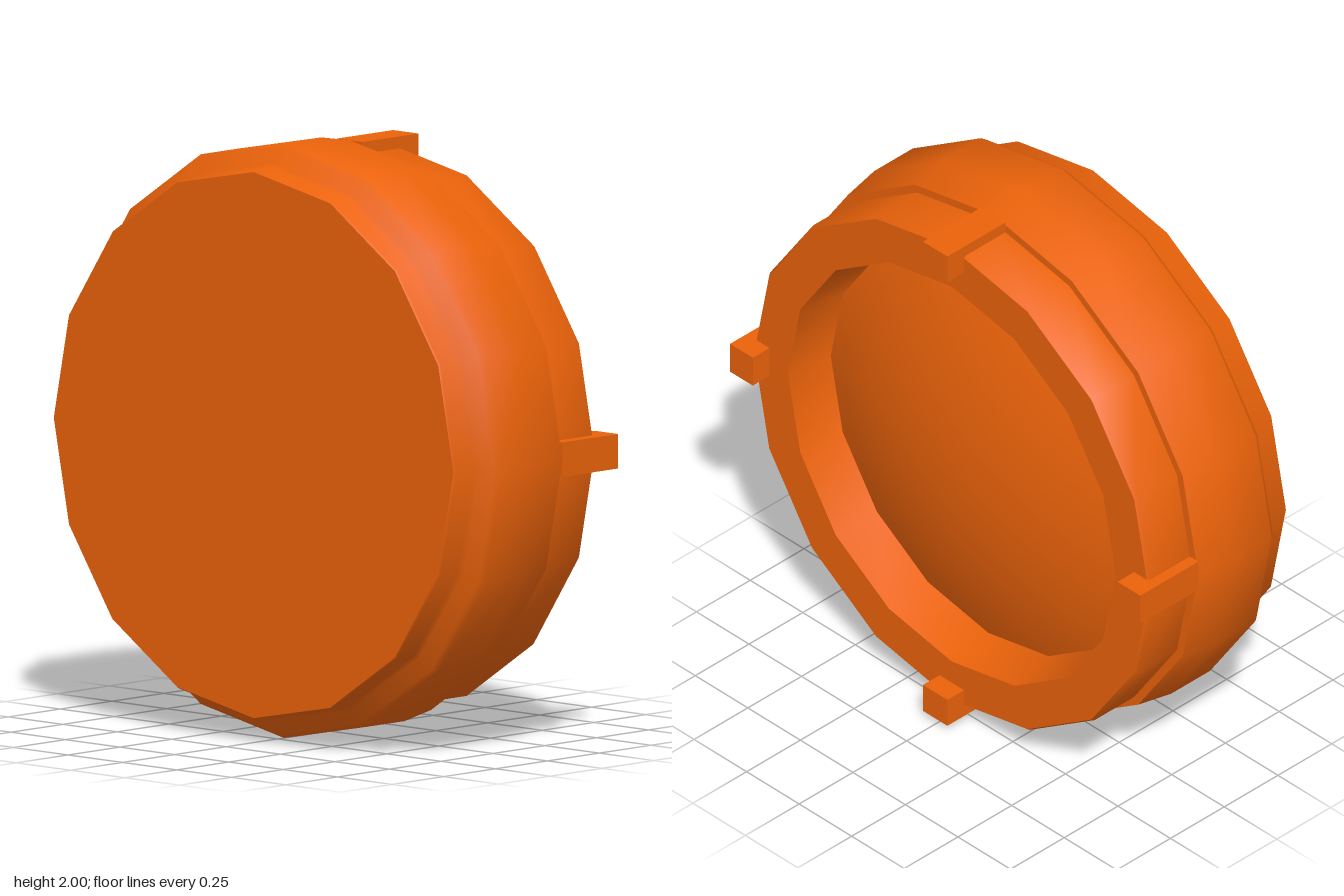
import * as THREE from 'three';
import { toCreasedNormals } from 'three/addons/utils/BufferGeometryUtils.js';

const SIDES = 16;
const material = new THREE.MeshStandardMaterial({ color: 0xea620a });

// Revolves [x, radius] pairs about the x axis; pairs run from the back, over the outside, to the front.
function revolve(name, profile) {
  const points = profile.map(([x, r]) => new THREE.Vector2(r, x));
  const geometry = new THREE.LatheGeometry(points, SIDES).rotateZ(-Math.PI / 2);
  const mesh = new THREE.Mesh(toCreasedNormals(geometry, 0.9), material);
  mesh.name = name;
  return mesh;
}

export function createModel() {
  const group = new THREE.Group();
  group.name = 'roundHousing';
  const body = new THREE.Group();
  body.name = 'body';
  body.position.y = 1;
  group.add(body);

  // Outer shell: flat back, flared shoulder, stepped front collar and tapered recess
  body.add(revolve('shell', [
    [-0.367, 0], [-0.367, 0.918], [-0.36, 0.923], [-0.28, 0.923], [-0.265, 0.936],
    [-0.24, 0.985], [-0.22, 1], [-0.04, 1], [0.097, 0.976],
    [0.097, 0.947], [0.28, 0.947], [0.29, 0.94],
    [0.29, 0.78], [0.12, 0.75],
  ]));

  // Domed lens closing the recess
  const lens = [];
  for (let i = 0; i <= 8; i++) {
    const t = 1 - i / 8;
    lens.push([0.12 + 0.15 * (1 - t * t), 0.75 * t]);
  }
  lens.reverse();
  body.add(revolve('lens', lens.reverse()));

  // Four locking tabs around the collar
  for (let i = 0; i < 4; i++) {
    const pivot = new THREE.Group();
    pivot.name = 'tab' + (i + 1);
    pivot.rotation.x = (i * Math.PI) / 2;
    const tab = new THREE.Mesh(new THREE.BoxGeometry(0.27, 0.108, 0.116), material);
    tab.name = 'lockingTab';
    tab.position.set(0.232, 0.922, 0);
    pivot.add(tab);
    body.add(pivot);
  }
  return group;
}
